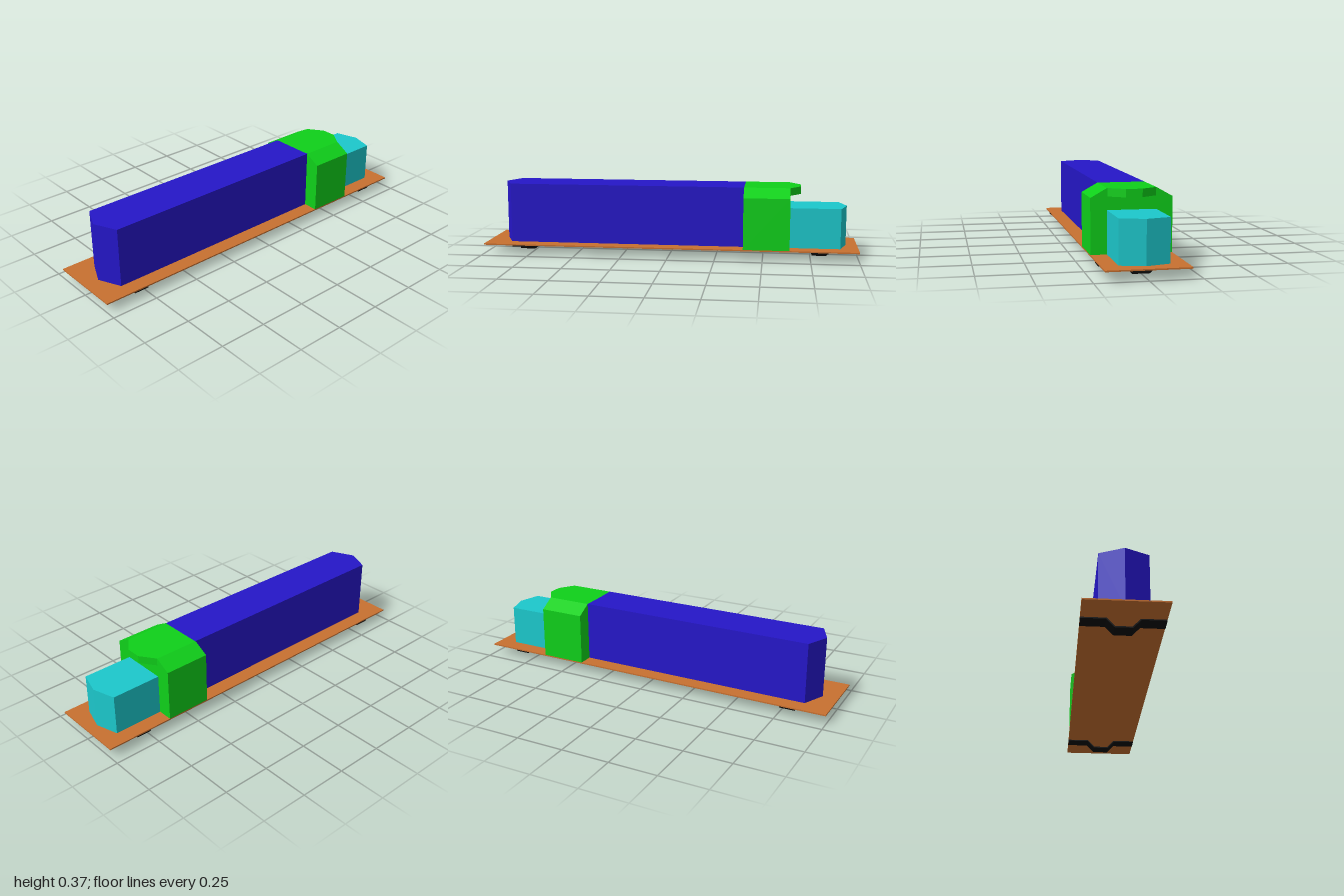
import * as THREE from 'three';

const mat = (color) => new THREE.MeshStandardMaterial({ color, flatShading: true });

const shapeOf = (points) => new THREE.Shape(points.map(([x, y]) => new THREE.Vector2(x, y)));

// Upright prism: plan outline given as [x, z], raised from y0 to y1
function prism(name, plan, y0, y1, material) {
  const shape = shapeOf(plan.map(([x, z]) => [x, -z]));
  const geo = new THREE.ExtrudeGeometry(shape, { depth: y1 - y0, bevelEnabled: false });
  geo.rotateX(-Math.PI / 2).translate(0, y0, 0);
  const mesh = new THREE.Mesh(geo, material);
  mesh.name = name;
  return mesh;
}

// Lengthwise extrusion: front outline given as [x, y], running from z0 to z1
function section(name, outline, z0, z1, material) {
  const geo = new THREE.ExtrudeGeometry(shapeOf(outline), { depth: z1 - z0, bevelEnabled: false });
  geo.translate(0, 0, z0);
  const mesh = new THREE.Mesh(geo, material);
  mesh.name = name;
  return mesh;
}

// Right half of an outline completed by its mirror image
const mirrored = (half) => [...half, ...half.map(([x, y]) => [-x, y]).reverse()];

export function createModel() {
  const model = new THREE.Group();
  model.name = 'locomotive';

  const blue = mat(0x2516c8);
  const green = mat(0x0fd01a);
  const cyan = mat(0x1cc8cc);
  const orange = mat(0xc87030);
  const black = mat(0x0a0a0a);

  const deckTop = 0.055;
  const roof = 0.373;

  // Running board
  const deck = new THREE.Mesh(new THREE.BoxGeometry(0.4, 0.007, 2), orange);
  deck.name = 'deck';
  deck.position.y = deckTop - 0.0035;
  model.add(deck);

  // Long hood with a pointed nose
  model.add(prism('longHood',
    [[-0.12, -0.4], [-0.12, 0.865], [0, 0.92], [0.12, 0.865], [0.12, -0.4]],
    deckTop, roof, blue));

  // Cab with sloping roof edges
  model.add(section('cab',
    mirrored([[0.2, deckTop], [0.2, 0.328], [0.12, roof]]),
    -0.64, -0.398, green));

  // Visor over the cab windows
  model.add(prism('cabVisor',
    [[-0.118, -0.64], [-0.04, -0.695], [0.04, -0.695], [0.118, -0.64]],
    0.333, roof, green));

  // Short hood with a pointed nose
  model.add(prism('shortHood',
    [[-0.12, -0.64], [-0.12, -0.905], [0, -0.94], [0.12, -0.905], [0.12, -0.64]],
    deckTop, 0.268, cyan));

  // Bent strap under each end of the deck
  const strap = [
    [-0.2, 0.048], [-0.2, 0.042], [-0.082, 0.042], [-0.042, 0.002],
    [0.042, 0.002], [0.082, 0.042], [0.2, 0.042], [0.2, 0.048],
    [0.079, 0.048], [0.039, 0.007], [-0.039, 0.007], [-0.079, 0.048],
  ].map(([x, y]) => [x, y === 0.002 ? 0 : y]);
  for (const [name, z] of [['frontStrap', 0.8], ['rearStrap', -0.8]]) {
    model.add(section(name, strap, z - 0.04, z + 0.04, black));
  }

  return model;
}
